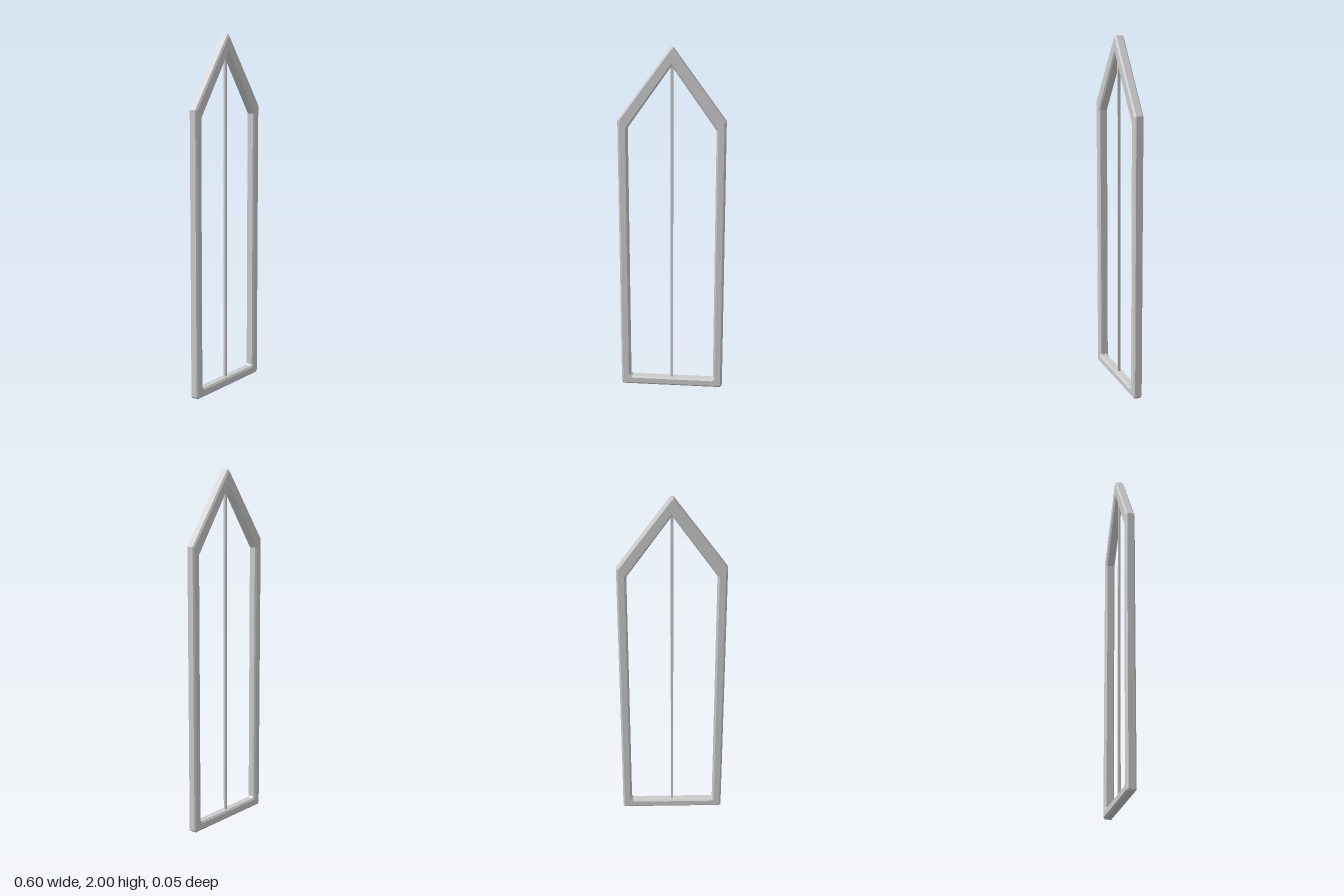
import * as THREE from 'three';

const material = new THREE.MeshStandardMaterial({ color: 0xcccccc, flatShading: true });

// Mirrors the right half of an outline (listed bottom to top) across x = 0.
function mirrored(half) {
  const left = half.filter(([x]) => x > 0).reverse().map(([x, y]) => [-x, y]);
  return [...half, ...left].map(([x, y]) => new THREE.Vector2(x, y));
}

export function createModel() {
  const group = new THREE.Group();

  // Pointed frame with chamfered edges, inside and out
  const outline = new THREE.Shape(mirrored([
    [0.287, 0], [0.298, 0.011], [0.298, 1.605], [0.008, 2],
  ]));
  outline.holes.push(new THREE.Path(mirrored([
    [0.236, 0.05], [0.245, 0.059], [0.245, 1.558], [0, 1.905],
  ])));
  const depth = 0.036, bevel = 0.008;
  const frameGeometry = new THREE.ExtrudeGeometry(outline, {
    depth, bevelEnabled: true, bevelSegments: 1,
    bevelThickness: bevel, bevelSize: 0.01, bevelOffset: -0.01,
  });
  frameGeometry.translate(0, 0, -depth / 2);
  const frame = new THREE.Mesh(frameGeometry, material);
  frame.name = 'frame';
  group.add(frame);

  // Slim upright bar dividing the opening
  const bottom = 0.045, top = 1.915;
  const bar = new THREE.Mesh(new THREE.BoxGeometry(0.014, top - bottom, 0.014), material);
  bar.position.y = (bottom + top) / 2;
  bar.name = 'centreBar';
  group.add(bar);

  return group;
}
